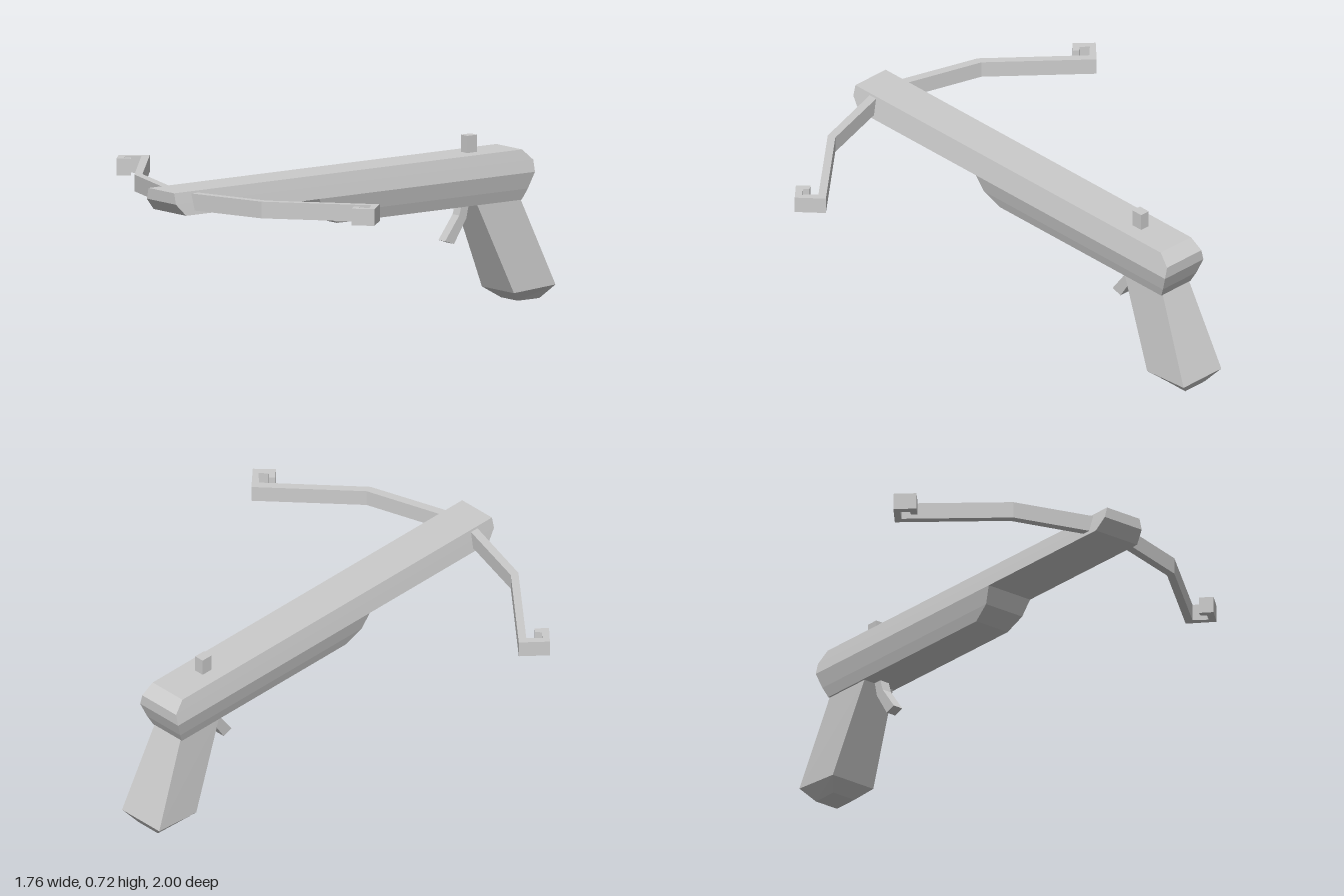
import * as THREE from 'three';

const material = new THREE.MeshStandardMaterial({ color: 0xcccccc, flatShading: true });

function addPart(group, name, geometry) {
  const mesh = new THREE.Mesh(geometry, material);
  mesh.name = name;
  group.add(mesh);
  return mesh;
}

// Stack of four-sided sections, bottom to top: [half width, front z, front y, back z, back y]
function stack(rows) {
  const positions = [];
  const rings = rows.map(([w, zf, yf, zb, yb]) => [[w, yf, zf], [w, yb, zb], [-w, yb, zb], [-w, yf, zf]]);
  const quad = (a, b, c, d) => positions.push(...a, ...b, ...c, ...a, ...c, ...d);
  for (let r = 0; r < rings.length - 1; r++) {
    const lo = rings[r], hi = rings[r + 1];
    for (let i = 0; i < 4; i++) {
      const j = (i + 1) % 4;
      quad(lo[i], lo[j], hi[j], hi[i]);
    }
  }
  const [a, b, c, d] = rings[0];
  quad(d, c, b, a);
  quad(...rings[rings.length - 1]);
  const geometry = new THREE.BufferGeometry();
  geometry.setAttribute('position', new THREE.Float32BufferAttribute(positions, 3));
  geometry.computeVertexNormals();
  return geometry;
}

function extrude(points, depth) {
  const shape = new THREE.Shape(points.map(([x, y]) => new THREE.Vector2(x, y)));
  return new THREE.ExtrudeGeometry(shape, { depth, bevelEnabled: false });
}

export function createModel() {
  const group = new THREE.Group();
  group.name = 'crossbow';

  // Long upper stock with chamfered nose and heel
  addPart(group, 'stock', stack([
    [0.112, 0.955, 0.55, -0.89, 0.55],
    [0.1, 1, 0.6, -0.89, 0.6],
    [0.088, 1, 0.647, -0.84, 0.647],
  ]));

  // Tapered lower body
  addPart(group, 'lowerBody', stack([
    [0.085, 0.135, 0.433, -0.84, 0.433],
    [0.098, 0.215, 0.48, -0.863, 0.48],
    [0.112, 0.25, 0.55, -0.89, 0.55],
  ]));

  // Raked grip, flared toward a bevelled butt
  addPart(group, 'grip', stack([
    [0.057, -0.84, 0, -0.955, 0],
    [0.11, -0.78, 0.045, -1, 0.06],
    [0.077, -0.61, 0.435, -0.84, 0.435],
  ]));

  // Bent trigger, outlined in z and y
  const trigger = extrude([
    [-0.574, 0.44], [-0.558, 0.386], [-0.483, 0.284],
    [-0.53, 0.268], [-0.595, 0.37], [-0.611, 0.44],
  ], 0.046);
  trigger.translate(0, 0, -0.023).rotateY(-Math.PI / 2);
  addPart(group, 'trigger', trigger);

  // Rear sight
  addPart(group, 'sight', new THREE.BoxGeometry(0.044, 0.09, 0.053)).position.set(0, 0.675, -0.627);

  // Bow limbs with hooked tips, outlined in x and z
  const limb = [
    [0.04, 0.888], [0.426, 0.772], [0.79, 0.453], [0.878, 0.55],
    [0.807, 0.616], [0.765, 0.571], [0.786, 0.555], [0.807, 0.573],
    [0.839, 0.545], [0.79, 0.498], [0.437, 0.806], [0.04, 0.927],
  ];
  for (const side of [1, -1]) {
    const geometry = extrude(limb.map(([x, z]) => [x * side, z]), 0.071);
    geometry.rotateX(Math.PI / 2).translate(0, 0.638, 0);
    addPart(group, side > 0 ? 'leftLimb' : 'rightLimb', geometry);
  }

  return group;
}
